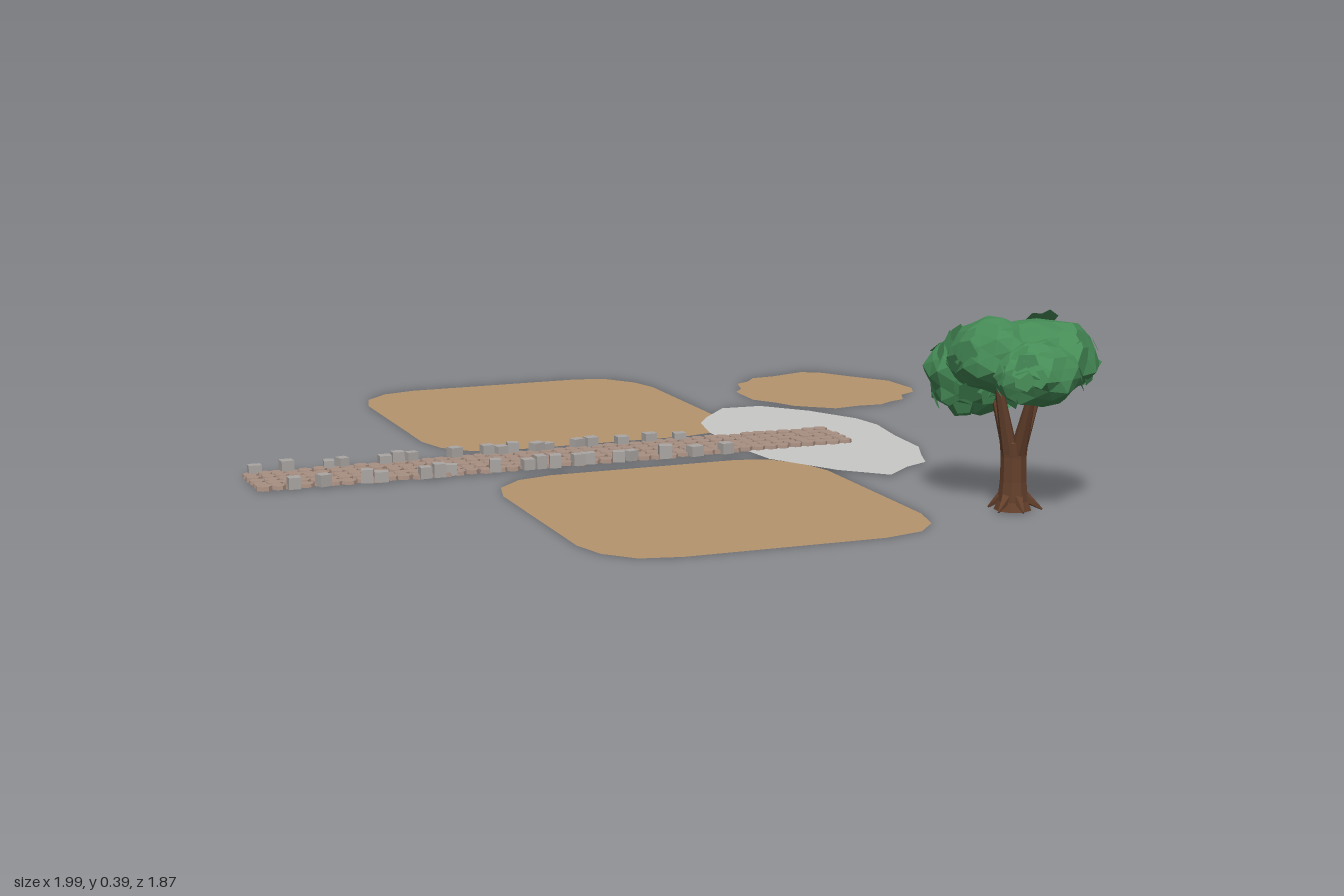
import * as THREE from 'three';
import { mergeGeometries, mergeVertices } from 'three/addons/utils/BufferGeometryUtils.js';

const material = (name, color, extra = {}) => {
  const m = new THREE.MeshStandardMaterial({ color, ...extra });
  m.name = name;
  return m;
};

function seeded(seed) {
  return () => {
    seed = (seed * 16807) % 2147483647;
    return seed / 2147483647;
  };
}

export function createModel() {
  const rand = seeded(4711);
  const jitter = (s) => (rand() - 0.5) * 2 * s;
  const earth = material('earth', 0xb5946f, { side: THREE.DoubleSide });
  const gravel = material('gravel', 0xc8c8c6, { side: THREE.DoubleSide });
  const paving = material('paving', 0xa88f82, { flatShading: true });
  const stone = material('stone', 0xaaa6a3, { flatShading: true });
  const bark = material('bark', 0x64402c, { flatShading: true });
  const leaf = material('leaf', 0x468c57, { flatShading: true, side: THREE.DoubleSide });

  const model = new THREE.Group();
  model.name = 'gardenGround';
  const add = (parent, name, geometry, mat) => {
    const mesh = new THREE.Mesh(geometry, mat);
    mesh.name = name;
    parent.add(mesh);
    return mesh;
  };

  // Flat ground patches, outlines given as [x, z]
  const patch = (name, points, y, mat) => {
    const shape = new THREE.Shape(points.map(([x, z]) => new THREE.Vector2(x, -z)));
    const mesh = add(model, name, new THREE.ShapeGeometry(shape).rotateX(-Math.PI / 2), mat);
    mesh.position.y = y;
    return mesh;
  };
  const plot = [
    [0.01, 0.36], [0.12, -0.05], [0.16, -0.11], [0.24, -0.14], [0.32, -0.14], [0.745, -0.03],
    [0.82, 0.01], [0.86, 0.07], [0.86, 0.16], [0.75, 0.56], [0.71, 0.635], [0.64, 0.67],
    [0.56, 0.67], [0.12, 0.55], [0.05, 0.51], [0.01, 0.44],
  ];
  patch('leftPlot', plot, 0, earth);
  patch('rightPlot', plot.map(([x, z]) => [x - 1.01, z - 0.275]), 0, earth);
  patch('roundPlot', [
    [-0.41, -0.94], [-0.3, -0.92], [-0.26, -0.89], [-0.245, -0.84], [-0.2, -0.805], [-0.195, -0.76],
    [-0.18, -0.72], [-0.2, -0.66], [-0.205, -0.6], [-0.26, -0.56], [-0.29, -0.54], [-0.35, -0.53],
    [-0.41, -0.51], [-0.515, -0.54], [-0.54, -0.575], [-0.6, -0.61], [-0.61, -0.65], [-0.64, -0.69],
    [-0.63, -0.745], [-0.635, -0.84], [-0.6, -0.875], [-0.505, -0.905],
  ], 0, earth);
  patch('gravelYard', [
    [-0.355, -0.375], [-0.325, -0.465], [-0.21, -0.52], [-0.07, -0.55], [0.015, -0.54], [0.135, -0.49],
    [0.26, -0.45], [0.325, -0.4], [0.39, -0.355], [0.405, -0.29], [0.445, -0.21], [0.34, -0.15],
    [0.165, -0.105], [0.03, -0.125], [-0.14, -0.175], [-0.24, -0.225], [-0.29, -0.28],
  ], 0.003, gravel);

  // Path, built along its own z axis and then turned
  const path = new THREE.Group();
  path.name = 'path';
  path.position.set(-0.11, 0, 0.265);
  path.rotation.y = -0.258;
  model.add(path);

  // Rows of close-set eight-sided paving stones
  const tiles = [];
  const rows = 45, columns = 5;
  for (let r = 0; r < rows; r++) {
    for (let c = 0; c < columns; c++) {
      const tile = new THREE.CylinderGeometry(0.0165, 0.018, 0.008, 8);
      tile.rotateY(Math.PI / 8);
      tile.scale(1.03 + jitter(0.07), 1 + jitter(0.15), 0.95 + jitter(0.07));
      tile.translate((c - 2) * 0.0325 + jitter(0.002), 0.006 + jitter(0.001),
        (r - (rows - 1) / 2) * 0.0298 + jitter(0.002));
      tiles.push(tile);
    }
  }
  add(path, 'pavingStones', mergeGeometries(tiles), paving);

  // Rough kerb blocks on both edges
  const kerb = [];
  const spots = [0.62, 0.55, 0.46, 0.43, 0.34, 0.31, 0.28, 0.18, 0.11, 0.08, 0.05, 0, -0.03,
    -0.1, -0.13, -0.2, -0.27, -0.34];
  for (const side of [-1, 1]) {
    for (const z of spots) {
      const h = 0.021 + rand() * 0.008;
      const block = new THREE.BoxGeometry(0.02 + rand() * 0.007, h, 0.022 + rand() * 0.007);
      block.rotateY(jitter(0.4));
      block.translate(side * 0.076 + jitter(0.005), h / 2 + 0.003, z - side * 0.02 + jitter(0.005));
      kerb.push(block);
    }
  }
  add(path, 'kerbStones', mergeGeometries(kerb), stone);

  // Tree
  const tree = new THREE.Group();
  tree.name = 'tree';
  tree.position.set(0.83, 0, -0.197);
  model.add(tree);

  const limb = (a, b, r0, r1, sides = 7) => {
    const from = new THREE.Vector3(...a), to = new THREE.Vector3(...b);
    const dir = to.clone().sub(from);
    const g = new THREE.CylinderGeometry(r1, r0, dir.length(), sides);
    g.applyQuaternion(new THREE.Quaternion().setFromUnitVectors(
      new THREE.Vector3(0, 1, 0), dir.normalize()));
    return g.translate(...from.add(to).multiplyScalar(0.5).toArray());
  };

  // Trunk with a flared foot
  const profile = [[0, 0.002], [0.038, 0.002], [0.031, 0.02], [0.027, 0.06], [0.026, 0.11], [0.029, 0.14], [0, 0.15]];
  add(tree, 'trunk', new THREE.LatheGeometry(
    profile.map(([x, y]) => new THREE.Vector2(x, y)), 9), bark);

  const roots = [];
  for (let i = 0; i < 6; i++) {
    const a = i * Math.PI / 3 + 0.3;
    const reach = 0.053 + jitter(0.006);
    roots.push(limb([Math.cos(a) * 0.016, 0.032, Math.sin(a) * 0.016],
      [Math.cos(a) * reach, 0.004, Math.sin(a) * reach], 0.014, 0.002, 5));
  }
  add(tree, 'roots', mergeGeometries(roots), bark);

  const branches = [
    [[-0.012, 0.12, 0], [-0.055, 0.25, 0.01]], [[0.012, 0.12, 0], [0.06, 0.25, 0.01]],
    [[0, 0.12, 0.012], [0.005, 0.26, 0.05]], [[0, 0.12, -0.012], [0.01, 0.26, -0.06]],
  ].map(([a, b]) => limb(a, b, 0.017, 0.008));
  add(tree, 'branches', mergeGeometries(branches), bark);

  // Crown: overlapping faceted clumps with loose leaf flakes: [centre, radii]
  const clumps = [
    [[-0.115, 0.258, 0.005], [0.1, 0.082, 0.1]],
    [[0.02, 0.312, -0.055], [0.115, 0.075, 0.1]],
    [[0.07, 0.285, 0.01], [0.088, 0.065, 0.088]],
    [[-0.03, 0.31, 0.03], [0.1, 0.076, 0.085]],
  ];
  const crown = new THREE.Group();
  crown.name = 'crown';
  tree.add(crown);
  clumps.forEach(([centre, radii], n) => {
    let ball = new THREE.IcosahedronGeometry(1, 2);
    ball.deleteAttribute('uv');
    ball.deleteAttribute('normal');
    ball = mergeVertices(ball, 1e-4);
    const p = ball.attributes.position;
    for (let i = 0; i < p.count; i++) {
      const k = 0.98 + jitter(0.09);
      p.setXYZ(i, p.getX(i) * k, p.getY(i) * k, p.getZ(i) * k);
    }
    ball.scale(...radii).translate(...centre);
    ball.computeVertexNormals();
    add(crown, `leafClump${n + 1}`, ball, leaf);

    const flakes = [];
    for (let i = 0; i < 22; i++) {
      const y = jitter(0.85), a = rand() * Math.PI * 2, s = Math.sqrt(1 - y * y);
      const dir = new THREE.Vector3(s * Math.cos(a), y, s * Math.sin(a));
      const flake = new THREE.CircleGeometry(0.018 + rand() * 0.01, 5);
      flake.rotateX(jitter(0.45)).rotateY(jitter(0.45));
      flake.applyQuaternion(new THREE.Quaternion().setFromUnitVectors(new THREE.Vector3(0, 0, 1), dir));
      flake.translate(...dir.toArray().map((v, j) => v * radii[j] * 0.99 + centre[j]));
      flakes.push(flake);
    }
    add(crown, `leafFlakes${n + 1}`, mergeGeometries(flakes), leaf);
  });

  return model;
}
